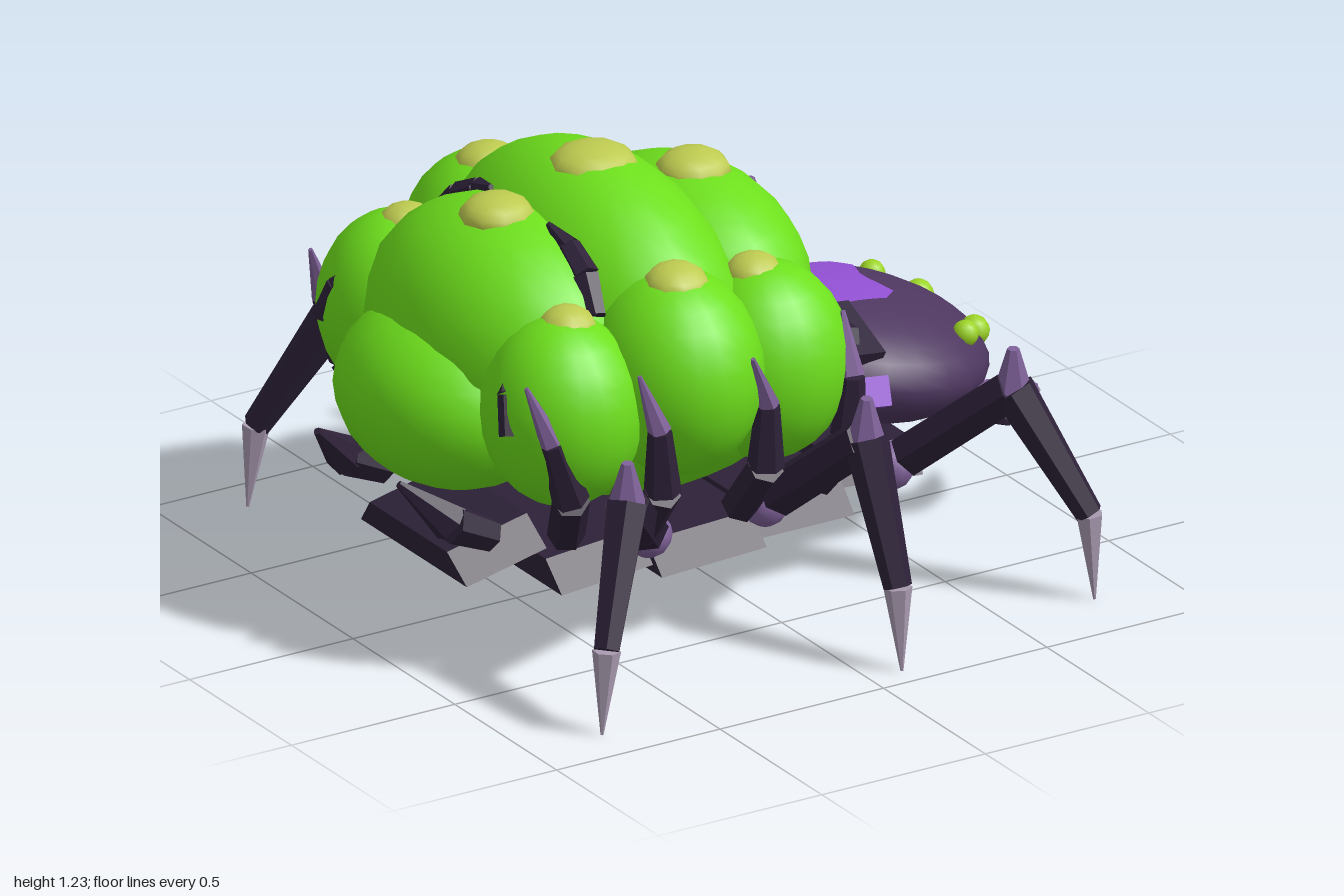
import * as THREE from 'three';

const material = (name, color) => {
  const m = new THREE.MeshStandardMaterial({ color });
  m.name = name;
  return m;
};

export function createModel() {
  const model = new THREE.Group();
  const green = material('sac green', 0x6ee01c);
  const olive = material('spot yellow', 0xbecb50);
  const dark = material('dark shell', 0x2d2138);
  const plum = material('head plum', 0x4e3760);
  const violet = material('bright violet', 0x9150d2);
  const mauve = material('joint mauve', 0x80629a);
  const pale = material('claw grey', 0xaa9cb2);
  const eyeGreen = material('eye green', 0x9cd426);

  const add = (name, geometry, mat, parent = model) => {
    const mesh = new THREE.Mesh(geometry, mat);
    mesh.name = name;
    parent.add(mesh);
    return mesh;
  };
  const faceted = (g) => {
    const flat = g.index ? g.toNonIndexed() : g;
    flat.computeVertexNormals();
    return flat;
  };
  const ellipsoid = (name, p, r, mat, w = 20, h = 14) => {
    const mesh = add(name, new THREE.SphereGeometry(1, w, h).scale(...r), mat);
    mesh.position.set(...p);
    return mesh;
  };
  // Tapered faceted bar between two points
  const bar = (name, a, b, ra, rb, mat, parent) => {
    const from = new THREE.Vector3(...a), to = new THREE.Vector3(...b);
    const dir = to.clone().sub(from);
    const mesh = add(name, faceted(new THREE.CylinderGeometry(rb, ra, dir.length(), 6)), mat, parent);
    mesh.position.copy(from).add(to).multiplyScalar(0.5);
    mesh.quaternion.setFromUnitVectors(new THREE.Vector3(0, 1, 0), dir.normalize());
  };
  // Chain of bars through points, one material per bar
  const limb = (name, points, radii, mats) => {
    const group = new THREE.Group();
    group.name = name;
    for (let i = 0; i < points.length - 1; i++) {
      bar(name + 'Segment', points[i], points[i + 1], radii[i], radii[i + 1], mats[i], group);
    }
    model.add(group);
  };
  // Trapezoid in z and y, extruded along x
  const trapezoid = (bottom, top, height, length) => {
    const s = new THREE.Shape();
    s.moveTo(-bottom, -height / 2);
    s.lineTo(bottom, -height / 2);
    s.lineTo(top, height / 2);
    s.lineTo(-top, height / 2);
    s.closePath();
    return new THREE.ExtrudeGeometry(s, { depth: length, bevelEnabled: false })
      .translate(0, 0, -length / 2).rotateY(Math.PI / 2);
  };

  // Swollen abdomen
  ellipsoid('abdomenCore', [-0.23, 0.66, 0], [0.57, 0.36, 0.55], green);
  ellipsoid('middleSac', [-0.27, 0.76, 0], [0.33, 0.45, 0.58], green);
  ellipsoid('backSac', [-0.54, 0.78, 0], [0.32, 0.34, 0.46], green);
  ellipsoid('frontSac', [0.02, 0.82, 0], [0.28, 0.29, 0.43], green);
  ellipsoid('tailSac', [-0.70, 0.64, 0], [0.29, 0.25, 0.35], green);

  // Domed spots
  const spot = (x, y, z, r, tilt = 0) => {
    const mesh = ellipsoid('spot', [x, y - 0.012, z], [r, 0.06, r], olive, 10, 10);
    mesh.rotation.x = tilt;
  };
  spot(-0.56, 1.11, 0, 0.1);
  spot(-0.265, 1.185, 0, 0.118);
  spot(0.04, 1.1, 0, 0.1);

  // Plates under the body: x, y, length, half width, tilt
  [
    [0.47, 0.23, 0.27, 0.23, -0.08], [0.19, 0.2, 0.29, 0.32, 0],
    [-0.12, 0.185, 0.32, 0.36, 0.04], [-0.43, 0.195, 0.28, 0.33, 0.08],
    [-0.7, 0.265, 0.25, 0.26, 0.22],
  ].forEach(([x, y, length, w, tilt]) => {
    const plate = add('bellyPlate', trapezoid(w, w - 0.07, 0.08, length), dark);
    plate.position.set(x, y, 0);
    plate.rotation.z = tilt;
  });

  // Head and the collar behind it
  const head = ellipsoid('head', [0.5, 0.49, 0], [0.385, 0.175, 0.385], plum, 24, 16);
  head.rotation.z = -0.2;
  const collar = add('collar', trapezoid(0.39, 0.28, 0.2, 0.16), dark);
  collar.position.set(0.27, 0.59, 0);
  collar.rotation.z = -0.25;

  // Crown patch laid over the head, with a straight back and a lobed front
  const crown = new THREE.PlaneGeometry(1, 0.28, 6, 14).rotateX(-Math.PI / 2);
  const cp = crown.attributes.position;
  for (let i = 0; i < cp.count; i++) {
    const z = cp.getZ(i), d = Math.abs(z);
    const front = d < 0.1 ? 0.025 + 0.4 * Math.max(0, d - 0.02) : 0.057 - 1.2 * (d - 0.1);
    const x = THREE.MathUtils.lerp(-0.135, front, cp.getX(i) + 0.5);
    cp.setX(i, x);
    cp.setY(i, 0.175 * Math.sqrt(1 - (x / 0.385) ** 2 - (z / 0.385) ** 2) + 0.012);
  }
  violet.side = THREE.DoubleSide;
  add('crownPatch', faceted(crown), violet, head);

  for (const s of [1, -1]) {
    const side = s > 0 ? 'left' : 'right';
    const at = ([x, y, z]) => [x, y, z * s];
    const path = (pts) => pts.map(at);

    // Side sacs and their spots
    ellipsoid(side + 'MiddleSideSac', at([-0.3, 0.77, 0.45]), [0.23, 0.28, 0.26], green);
    ellipsoid(side + 'BackSideSac', at([-0.61, 0.71, 0.4]), [0.215, 0.26, 0.225], green);
    ellipsoid(side + 'FrontSideSac', at([0.0, 0.72, 0.42]), [0.225, 0.27, 0.225], green);
    spot(-0.3, 1.025, 0.465 * s, 0.088, 0.12 * s);
    spot(-0.59, 0.945, 0.395 * s, 0.078, 0.1 * s);
    spot(-0.02, 0.965, 0.395 * s, 0.078, 0.05 * s);

    // Collar wings and cheek plates
    const wing = add(side + 'CollarWing', new THREE.BoxGeometry(0.13, 0.05, 0.2), dark);
    wing.position.set(0.355, 0.632, 0.235 * s);
    wing.rotation.set(0.4 * s, 0, -0.15);
    const cheek = add(side + 'CheekPlate', new THREE.BoxGeometry(0.19, 0.08, 0.05), violet);
    cheek.position.set(0.305, 0.525, 0.365 * s);
    cheek.rotation.set(-0.45 * s, 0, -0.12);

    // Eyes
    ellipsoid(side + 'OuterEye', at([0.73, 0.55, 0.23]), [0.036, 0.036, 0.036], eyeGreen, 12, 8);
    ellipsoid(side + 'InnerEye', at([0.815, 0.505, 0.137]), [0.041, 0.041, 0.041], eyeGreen, 12, 8);

    // Jaws
    limb(side + 'Mandible',
      path([[0.7, 0.4, 0.27], [0.86, 0.365, 0.275], [0.94, 0.325, 0.2], [0.99, 0.29, 0.09]]),
      [0.032, 0.046, 0.034, 0.005], [mauve, mauve, pale]);
    limb(side + 'Fang',
      path([[0.66, 0.37, 0.15], [0.8, 0.3, 0.18], [0.92, 0.215, 0.14]]),
      [0.04, 0.035, 0.005], [dark, dark]);

    // Walking legs: hip, knee, ankle, tip
    [
      ['Front', [0.42, 0.295, 0.36], [0.62, 0.57, 0.64], [0.76, 0.24, 0.79], [0.77, 0, 0.8]],
      ['Middle', [0.03, 0.285, 0.37], [0.09, 0.6, 0.77], [0.1, 0.23, 0.91], [0.1, 0, 0.93]],
      ['Back', [-0.34, 0.29, 0.39], [-0.61, 0.56, 0.72], [-0.76, 0.23, 0.86], [-0.78, 0, 0.87]],
    ].forEach(([n, hip, knee, ankle, tip]) => {
      const name = side + n;
      ellipsoid(name + 'Hip', at(hip), [0.064, 0.064, 0.064], mauve, 12, 8);
      // the dark thigh begins outside the hip ball
      const thigh = hip.map((v, i) => v + (knee[i] - v) * 0.14);
      limb(name + 'Leg', path([thigh, knee, ankle, tip]), [0.062, 0.06, 0.038, 0.004], [dark, dark, pale]);
      bar(name + 'KneeSpike', at(knee), at([knee[0] - 0.005, knee[1] + 0.12, knee[2] + 0.01]),
        0.05, 0.016, mauve, model);
    });

    // Ribs gripping the abdomen: foot x, top x, tip x, top z, tip z
    [
      [0.14, 0.155, 0.165, 0.6, 0.535], [-0.13, -0.13, -0.2, 0.64, 0.68],
      [-0.43, -0.46, -0.51, 0.64, 0.62], [-0.61, -0.74, -0.8, 0.56, 0.53],
    ].forEach(([a, b, c, z, tipZ]) => {
      limb(side + 'Rib',
        path([[a, 0.36, z - 0.14], [(a + b) / 2, 0.52, z - 0.01], [b, 0.7, z], [c, 0.86, tipZ]]),
        [0.05, 0.05, 0.032, 0.006], [dark, dark, mauve]);
    });
    limb(side + 'TailSpur', path([[-0.74, 0.33, 0.26], [-0.86, 0.39, 0.26], [-0.985, 0.51, 0.2]]),
      [0.045, 0.055, 0.01], [dark, dark]);

    // Curved thorns in the seams
    limb(side + 'TopThorn',
      path([[-0.49, 1.11, 0.14], [-0.475, 1.07, 0.22], [-0.48, 1.02, 0.31], [-0.5, 0.94, 0.39]]),
      [0.008, 0.033, 0.038, 0.03], [dark, dark, dark]);
    limb(side + 'BackThorn', path([[-0.75, 0.88, 0.36], [-0.79, 0.8, 0.42], [-0.81, 0.7, 0.46]]),
      [0.008, 0.026, 0.026], [dark, dark]);
  }

  return model;
}
